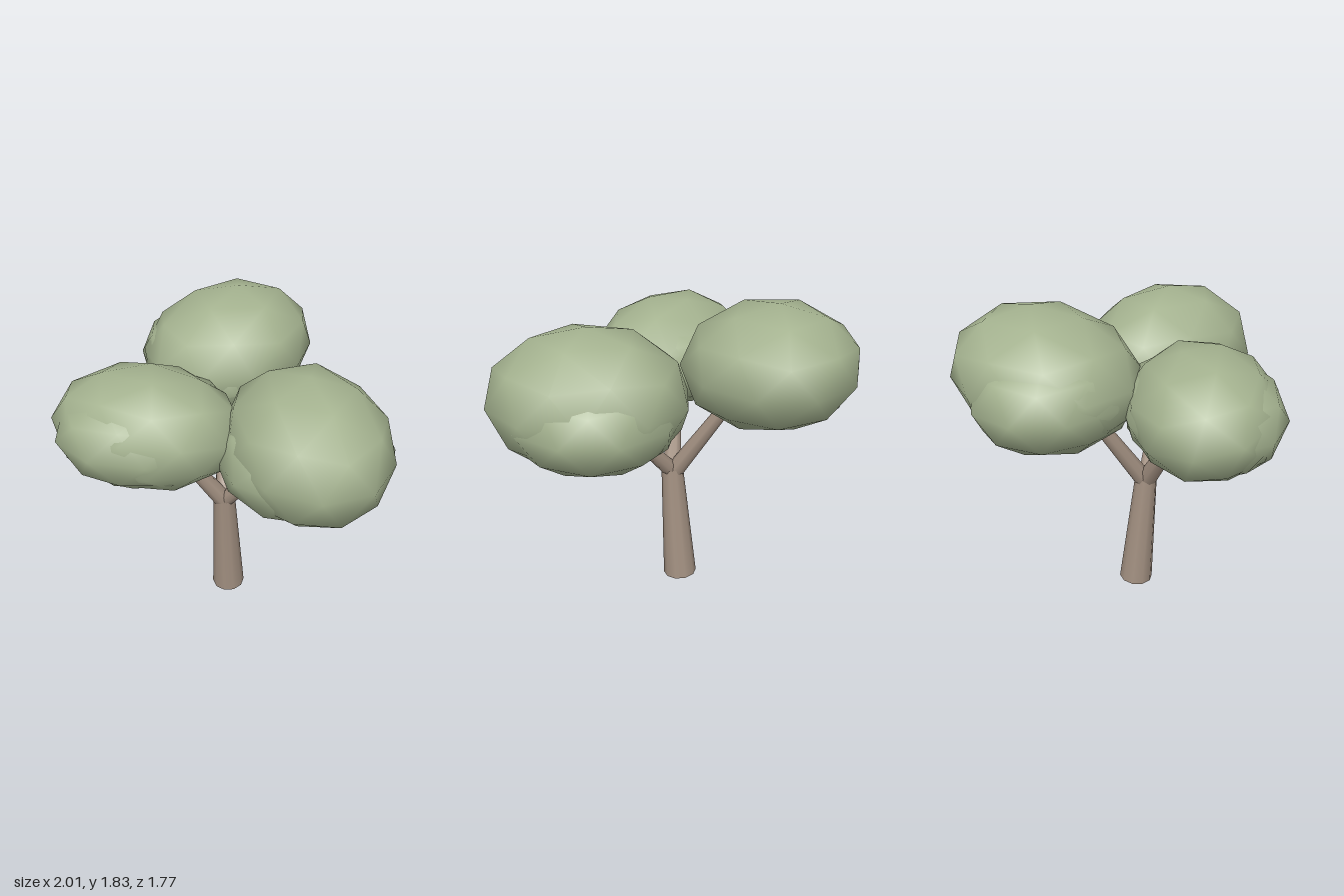
import * as THREE from 'three';

export function createModel() {
  const tree = new THREE.Group();
  tree.name = 'tree';
  const bark = new THREE.MeshStandardMaterial({ name: 'bark brown', color: 0xa29081, side: THREE.DoubleSide });
  const leaves = new THREE.MeshStandardMaterial({ name: 'leaf green', color: 0xa4b28f });

  // Tapered, open-ended limb between two points
  function limb(name, from, to, r0, r1, sides) {
    const a = new THREE.Vector3(...from), b = new THREE.Vector3(...to);
    const dir = b.clone().sub(a);
    const mesh = new THREE.Mesh(new THREE.CylinderGeometry(r1, r0, dir.length(), sides, 1, true), bark);
    mesh.name = name;
    mesh.position.copy(a).add(b).multiplyScalar(0.5);
    mesh.quaternion.setFromUnitVectors(new THREE.Vector3(0, 1, 0), dir.normalize());
    tree.add(mesh);
  }

  // Smooth, coarse icospheres: one with a vertex on top, one rolled to a flatter top
  const pointed = new THREE.IcosahedronGeometry(1, 1);
  pointed.rotateZ(-Math.atan(2 / (1 + Math.sqrt(5))));
  const flat = pointed.clone().rotateX(-0.28);

  function lobe(parent, name, ball, center, radii, turn, tilt = 0) {
    const mesh = new THREE.Mesh(ball, leaves);
    mesh.name = name;
    mesh.position.set(...center);
    mesh.scale.set(...radii);
    mesh.rotation.set(tilt, turn, 0);
    parent.add(mesh);
  }

  // Leaning trunk and three forking branches
  limb('trunk', [-0.105, 0.01, -0.057], [-0.07, 0.73, 0], 0.1, 0.064, 10);
  limb('frontBranch', [-0.065, 0.69, -0.01], [-0.19, 1.13, 0.27], 0.058, 0.038, 8);
  limb('leftBranch', [-0.07, 0.71, 0], [0.24, 1.07, -0.09], 0.05, 0.034, 8);
  limb('rearBranch', [-0.07, 0.69, 0], [-0.31, 1.16, -0.19], 0.054, 0.038, 8);

  // Each clump is two overlapping squashed balls: ball, center, radii, turn, tilt
  const clumps = {
    frontFoliage: [
      [flat, [-0.215, 1.325, 0.42], [0.54, 0.332, 0.41], 0.6],
      [pointed, [-0.215, 1.315, 0.42], [0.51, 0.31, 0.42], 0.95],
    ],
    leftFoliage: [
      [pointed, [0.46, 1.315, -0.14], [0.555, 0.4, 0.445], -0.35],
      [pointed, [0.44, 1.25, -0.15], [0.49, 0.33, 0.49], 0],
    ],
    rearFoliage: [
      [flat, [-0.485, 1.465, -0.36], [0.475, 0.355, 0.53], 0, 0.18],
      [pointed, [-0.53, 1.4, -0.28], [0.485, 0.32, 0.42], -0.15],
    ],
  };
  for (const [name, lobes] of Object.entries(clumps)) {
    const clump = new THREE.Group();
    clump.name = name;
    lobes.forEach((l, i) => lobe(clump, `${name}Lobe${i + 1}`, ...l));
    tree.add(clump);
  }
  return tree;
}
